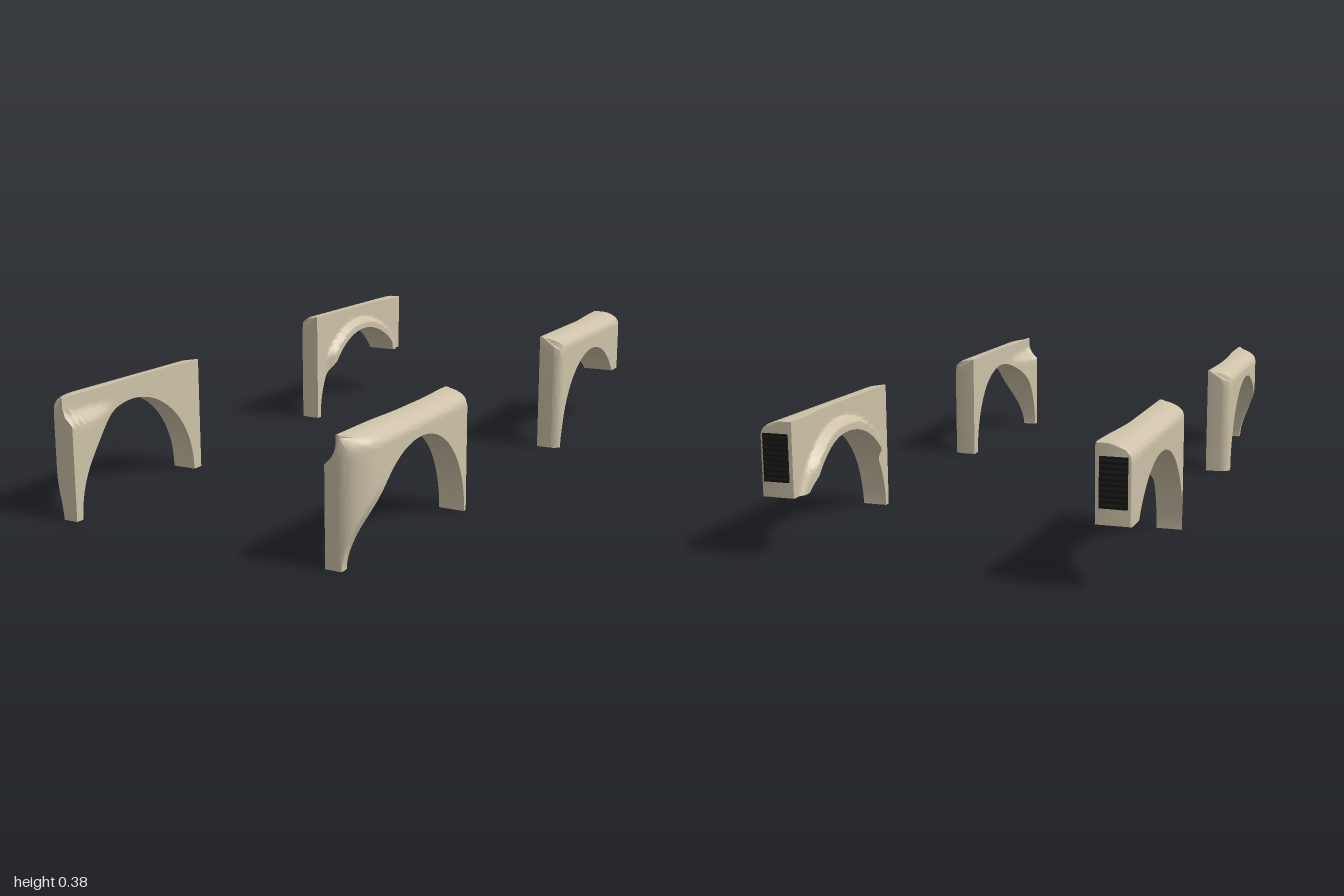
import * as THREE from 'three';
import { toCreasedNormals } from 'three/addons/utils/BufferGeometryUtils.js';

const { lerp, smoothstep, clamp } = THREE.MathUtils;
const OUTER = 0.507;

// quarter-round falloff: 0 at the edge, 1 past the rounding
const round = (d, r) => {
  const v = clamp(d / r, 0, 1);
  return Math.sqrt(1 - (1 - v) ** 2);
};

// w runs along the car away from its middle: +z on the front axle, -z on the rear
const FRONT = {
  sign: 1, cw: 0.69, r: 0.284, wi: 0.37, wo: 1.0, top: 0.348, endAngle: Math.PI, endB: Math.PI,
  nose: [0.075, 0.1],
  // flat wall with a mounting flange growing towards the bumper
  inner: (w, y) => 0.436 - 0.008 * smoothstep(Math.abs(w - 0.62), 0.05, 0.25)
    - 0.032 * smoothstep(w, 0.76, 0.92) * (1 - smoothstep(y, 0.27, 0.305)),
  // the leg narrows towards the ground at the bumper
  limit: (w, y) => lerp(OUTER, 0.443 + 0.064 * smoothstep(y, 0, 0.23), smoothstep(w, 0.84, 0.96)),
};
const REAR = {
  sign: -1, cw: 0.683, r: 0.293, wi: 0.37, wo: 0.99, top: 0.376,
  endAngle: Math.PI - Math.atan2(0.17, 0.239), endB: Math.PI - Math.atan2(0.17, 0.307),
  nose: [0.006, 0.012],
  // wall with a raised liner ridge following the arch
  inner: (w, y, d) => 0.43 - 0.018 * smoothstep(w, 0.7, 0.98)
    - 0.027 * (1 - smoothstep(d, 0.022, 0.042)) * smoothstep(w, 0.43, 0.47)
      * (1 - 0.6 * smoothstep(w, 0.88, 0.93)),
  limit: () => OUTER,
};

// Lofts a closed cross-section around the wheel arch
function fenderGeometry(f, side) {
  const c1 = Math.atan2(f.top, f.cw - f.wi);
  const c2 = Math.PI - Math.atan2(f.top, f.wo - f.cw);
  const archKnots = [0, c1, c2, f.endAngle];
  const edgeKnots = [0, c1, c2, f.endB];
  const counts = [20, 36, 20];
  const stations = [[0, 0]];
  counts.forEach((n, k) => {
    for (let i = 1; i <= n; i++) {
      stations.push([lerp(archKnots[k], archKnots[k + 1], i / n), lerp(edgeKnots[k], edgeKnots[k + 1], i / n)]);
    }
  });

  const n = 24, ring = 2 * n + 2, pos = [], index = [];
  const quad = (a, b, c, d) => {
    if (side * f.sign > 0) index.push(a, b, c, a, c, d);
    else index.push(a, c, b, a, d, c);
  };

  stations.forEach(([a, b], i) => {
    const cos = Math.cos(b), sin = Math.sin(b);
    const reach = Math.min(f.top / Math.max(sin, 1e-6), (cos > 0 ? f.cw - f.wi : f.wo - f.cw) / Math.max(Math.abs(cos), 1e-6));
    const A = [f.cw - f.r * Math.cos(a), f.r * Math.sin(a)];
    const B = [f.cw - reach * cos, reach * sin];
    for (let j = 0; j < ring; j++) {
      const k = j <= n ? j : ring - 1 - j;
      const s = (1 - Math.cos(Math.PI * k / n)) / 2;
      const w = lerp(A[0], B[0], s), y = Math.max(0, lerp(A[1], B[1], s));
      const xin = f.inner(w, y, Math.hypot(w - A[0], y - A[1]));
      let x = xin;
      if (j <= n) {
        x = OUTER - 0.065 * (1 - round(f.top - y, 0.04))
          - 0.035 * (1 - round(w - f.wi, 0.03))
          - f.nose[0] * (1 - round(f.wo - w, f.nose[1]));
        x = Math.max(Math.min(x, f.limit(w, y)), xin + 0.008);
      }
      pos.push(side * x, y, f.sign * w);
    }
    if (i === 0) return;
    const p = (i - 1) * ring, q = i * ring;
    for (let j = 0; j < ring; j++) {
      const m = (j + 1) % ring;
      quad(p + j, p + m, q + m, q + j);
    }
  });

  // end caps
  const last = (stations.length - 1) * ring;
  for (let j = 0; j < n; j++) {
    const o = ring - 1 - j;
    quad(j, o, o - 1, j + 1);
    quad(last + j, last + j + 1, last + o - 1, last + o);
  }

  const g = new THREE.BufferGeometry();
  g.setAttribute('position', new THREE.Float32BufferAttribute(pos, 3));
  g.setIndex(index);
  return toCreasedNormals(g, 0.7);
}

export function createModel() {
  const model = new THREE.Group();
  const paint = new THREE.MeshStandardMaterial({ color: 0xcdc2a8 });
  const dark = new THREE.MeshStandardMaterial({ color: 0x151515 });

  for (const side of [1, -1]) {
    const label = side > 0 ? 'left' : 'right';
    for (const [f, name] of [[FRONT, 'FrontFender'], [REAR, 'RearFender']]) {
      const fender = new THREE.Mesh(fenderGeometry(f, side), paint);
      fender.name = label + name;
      model.add(fender);
    }

    // louvred vent on the rear end
    const vent = new THREE.Group();
    vent.name = label + 'RearVent';
    const plate = new THREE.Mesh(new THREE.BoxGeometry(0.072, 0.13, 0.012), dark);
    plate.name = 'ventPlate';
    vent.add(plate);
    const slatGeometry = new THREE.BoxGeometry(0.07, 0.007, 0.006);
    for (let i = 0; i < 9; i++) {
      const slat = new THREE.Mesh(slatGeometry, dark);
      slat.name = 'ventSlat';
      slat.position.set(0, -0.056 + i * 0.014, -0.006);
      slat.rotation.x = 0.4;
      vent.add(slat);
    }
    vent.position.set(side * 0.459, 0.278, -0.99);
    model.add(vent);
  }
  return model;
}
